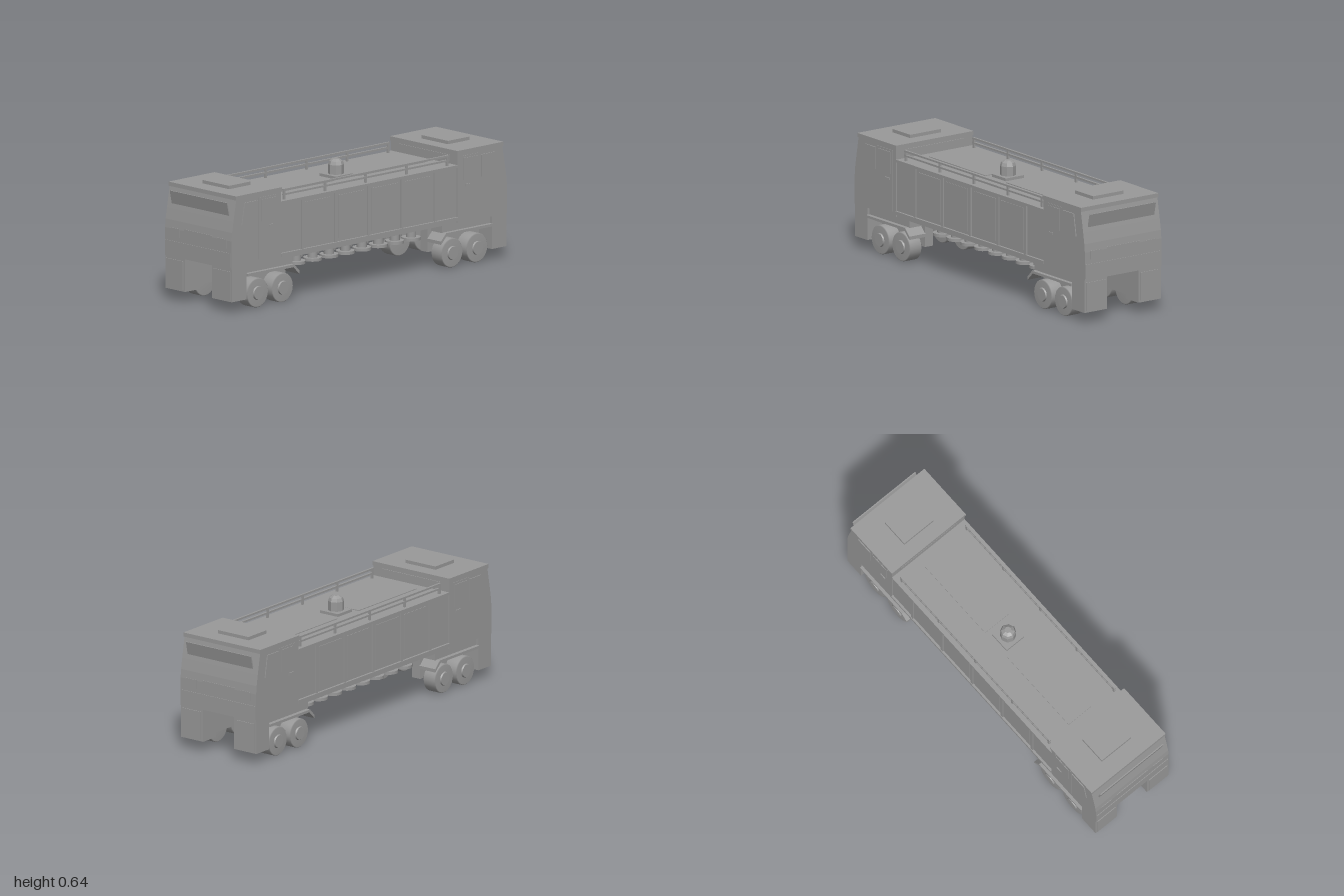
import * as THREE from 'three';

export function createModel() {
  const model = new THREE.Group();
  model.name = 'doubleEndedTransporter';
  const grey = new THREE.MeshStandardMaterial({ color: 0x999999, side: THREE.DoubleSide });
  grey.name = 'grey';

  const add = (parent, name, geometry, x = 0, y = 0, z = 0) => {
    const mesh = new THREE.Mesh(geometry, grey);
    mesh.name = name;
    mesh.position.set(x, y, z);
    parent.add(mesh);
    return mesh;
  };
  // Box given by its limits on each axis
  const box = (parent, name, x0, x1, y0, y1, z0, z1) =>
    add(parent, name, new THREE.BoxGeometry(Math.abs(x1 - x0), y1 - y0, z1 - z0),
      (x0 + x1) / 2, (y0 + y1) / 2, (z0 + z1) / 2);
  // Side profile of [z, y] points, extruded across x
  const profile = (parent, name, points, x0, x1) => {
    const shape = new THREE.Shape(points.map(([z, y]) => new THREE.Vector2(-z, y)));
    const geometry = new THREE.ExtrudeGeometry(shape, { depth: x1 - x0, bevelEnabled: false });
    geometry.rotateY(Math.PI / 2);
    return add(parent, name, geometry, x0, 0, 0);
  };

  // Long central body with its side trim
  const body = new THREE.Group();
  body.name = 'body';
  model.add(body);
  box(body, 'hull', -0.242, 0.242, 0.235, 0.54, -0.65, 0.65);
  box(body, 'deck', -0.25, 0.25, 0.532, 0.545, -0.64, 0.64);
  for (const s of [-1, 1]) {
    box(body, 'lowerRail', s * 0.24, s * 0.254, 0.25, 0.268, -0.64, 0.64);
    for (let i = -2; i <= 2; i++) {
      box(body, 'sideRib', s * 0.24, s * 0.25, 0.268, 0.532, i * 0.24 - 0.008, i * 0.24 + 0.008);
    }
    for (const z of [-0.36, -0.12, 0.12, 0.36]) {
      box(body, 'sidePanel', s * 0.24, s * 0.245, 0.285, 0.515, z - 0.095, z + 0.095);
    }
    // Deck guard rail
    for (const y of [0.573, 0.597]) {
      box(body, 'guardRail', s * 0.217, s * 0.228, y - 0.005, y + 0.005, -0.6, 0.6);
    }
    for (let i = -2; i <= 2; i++) {
      box(body, 'railPost', s * 0.217, s * 0.228, 0.54, 0.6, i * 0.295 - 0.006, i * 0.295 + 0.006);
    }
    // Deck walkway panels
    box(body, 'deckPanel', -0.08, 0.08, 0.543, 0.549, s * 0.335 - 0.245, s * 0.335 + 0.245);
  }

  // Beacon at the middle of the deck
  box(body, 'beaconBase', -0.06, 0.06, 0.543, 0.56, -0.06, 0.06);
  const beacon = new THREE.LatheGeometry([
    [0.043, 0.555], [0.043, 0.61], [0.036, 0.628], [0.018, 0.64], [0, 0.64],
  ].map(([r, y]) => new THREE.Vector2(r, y)), 8).toNonIndexed();
  beacon.computeVertexNormals();
  add(body, 'beacon', beacon);

  // Two rows of support feet beneath the body
  for (const s of [-1, 1]) {
    for (let i = -4; i <= 4; i++) {
      add(model, 'footPost', new THREE.CylinderGeometry(0.027, 0.027, 0.085, 16), s * 0.07, 0.2, i * 0.119);
      add(model, 'footPad', new THREE.CylinderGeometry(0.05, 0.05, 0.016, 16), s * 0.07, 0.153, i * 0.119);
    }
  }

  // One end of the vehicle: cab, legs and wheels
  function makeEnd(name) {
    const end = new THREE.Group();
    end.name = name;
    profile(end, 'cab', [
      [0.64, 0.235], [0.997, 0.235], [0.997, 0.385], [0.993, 0.43], [0.983, 0.49], [0.962, 0.605], [0.64, 0.605],
    ], -0.25, 0.25);
    box(end, 'roof', -0.254, 0.254, 0.6, 0.622, 0.635, 0.968);
    box(end, 'roofHatch', -0.1, 0.1, 0.62, 0.64, 0.715, 0.87);
    box(end, 'rearWindow', -0.19, 0.19, 0.558, 0.592, 0.636, 0.642);

    // Windscreen leaning outward at its top
    profile(end, 'windscreen', [[0.974, 0.515], [0.982, 0.515], [0.997, 0.585], [0.991, 0.585]], -0.215, 0.215);

    // Front panels
    box(end, 'grillePanel', -0.105, 0.105, 0.34, 0.395, 0.99, 0.999);
    box(end, 'bumperPanel', -0.245, 0.245, 0.245, 0.32, 0.992, 1);

    for (const s of [-1, 1]) {
      box(end, 'headlight', s * 0.142, s * 0.212, 0.343, 0.39, 0.99, 0.999);

      // Cab door, windows and handle
      box(end, 'door', s * 0.248, s * 0.252, 0.26, 0.59, 0.67, 0.8);
      box(end, 'doorWindow', s * 0.25, s * 0.255, 0.46, 0.578, 0.682, 0.785);
      const x = s > 0 ? 0.249 : -0.255;
      profile(end, 'sideWindow', [[0.81, 0.46], [0.925, 0.46], [0.905, 0.578], [0.81, 0.578]], x, x + 0.006);
      box(end, 'doorHandle', s * 0.25, s * 0.257, 0.425, 0.437, 0.69, 0.725);

      // Corner leg and the beam that carries the wheels
      box(end, 'cornerLeg', s * 0.102, s * 0.25, 0.06, 0.237, 0.887, 0.995);
      box(end, 'legPanel', s * 0.115, s * 0.24, 0.07, 0.222, 0.99, 0.999);
      box(end, 'wheelBeam', s * 0.102, s * 0.155, 0.085, 0.24, 0.515, 0.89);
      box(end, 'beamTop', s * 0.15, s * 0.235, 0.195, 0.24, 0.54, 0.89);

      // Mudguard with a drooping tail
      const gx = s > 0 ? 0.15 : -0.258;
      profile(end, 'mudguard', [
        [0.887, 0.183], [0.887, 0.197], [0.55, 0.197], [0.512, 0.158], [0.512, 0.14], [0.556, 0.183],
      ], gx, gx + 0.108);

      // Two wheels on each side
      for (const z of [0.614, 0.794]) {
        const wheel = new THREE.Group();
        wheel.name = 'wheel';
        wheel.position.set(s * 0.197, 0.079, z);
        wheel.rotation.z = -s * Math.PI / 2;
        end.add(wheel);
        const tyre = [
          [0, -0.04], [0.073, -0.04], [0.078, -0.035], [0.078, 0.035], [0.073, 0.04], [0, 0.04],
        ].map(([r, y]) => new THREE.Vector2(r, y));
        add(wheel, 'tyre', new THREE.LatheGeometry(tyre, 24));
        add(wheel, 'hub', new THREE.CylinderGeometry(0.034, 0.038, 0.01, 20), 0, 0.043, 0);
      }
    }
    return end;
  }

  const front = makeEnd('frontEnd');
  const back = makeEnd('backEnd');
  back.rotation.y = Math.PI;
  model.add(front, back);
  return model;
}
